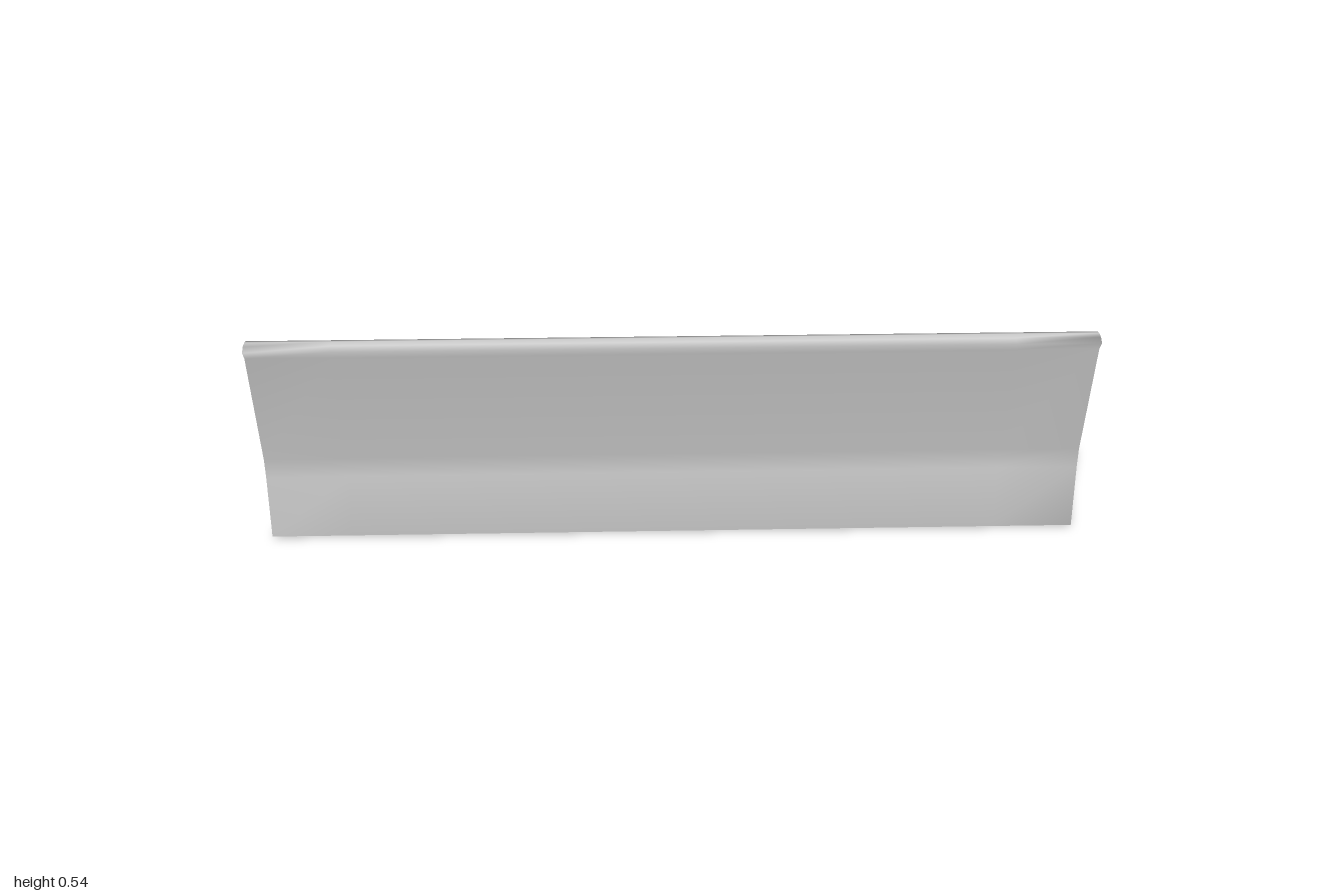
import * as THREE from 'three';
import { mergeVertices } from 'three/addons/utils/BufferGeometryUtils.js';

// Bench cross-section as [z, y]; the backrest is on the +z side
const PROFILE = [
  // rear leg, underside of the seat, front leg
  [0.113, 0.005], [0.088, 0.005], [0.057, 0.164], [-0.103, 0.164], [-0.137, 0], [-0.167, 0],
  // rounded front edge and seat top
  [-0.148, 0.165], [-0.147, 0.203], [-0.14, 0.211], [-0.128, 0.216], [0.037, 0.216], [0.058, 0.221],
  // backrest and its flared top rail
  [0.124, 0.541], [0.137, 0.543], [0.155, 0.54], [0.168, 0.53], [0.154, 0.51],
  // rear face down to the leg
  [0.1, 0.215], [0.1, 0.165],
];

export function createModel() {
  const group = new THREE.Group();
  group.name = 'bench';

  // Sweep the cross-section along x
  const shape = new THREE.Shape(PROFILE.map(([z, y]) => new THREE.Vector2(z, y)));
  const swept = new THREE.ExtrudeGeometry(shape, { depth: 2, steps: 10, bevelEnabled: false });
  swept.translate(0, 0, -1);
  swept.rotateY(-Math.PI / 2);

  // Weld the corners so the whole surface is softly shaded
  swept.deleteAttribute('normal');
  swept.deleteAttribute('uv');
  const geometry = mergeVertices(swept, 1e-4);
  geometry.computeVertexNormals();

  const body = new THREE.Mesh(geometry, new THREE.MeshStandardMaterial({ color: 0xcccccc }));
  body.name = 'seatBackAndLegs';
  group.add(body);
  return group;
}
